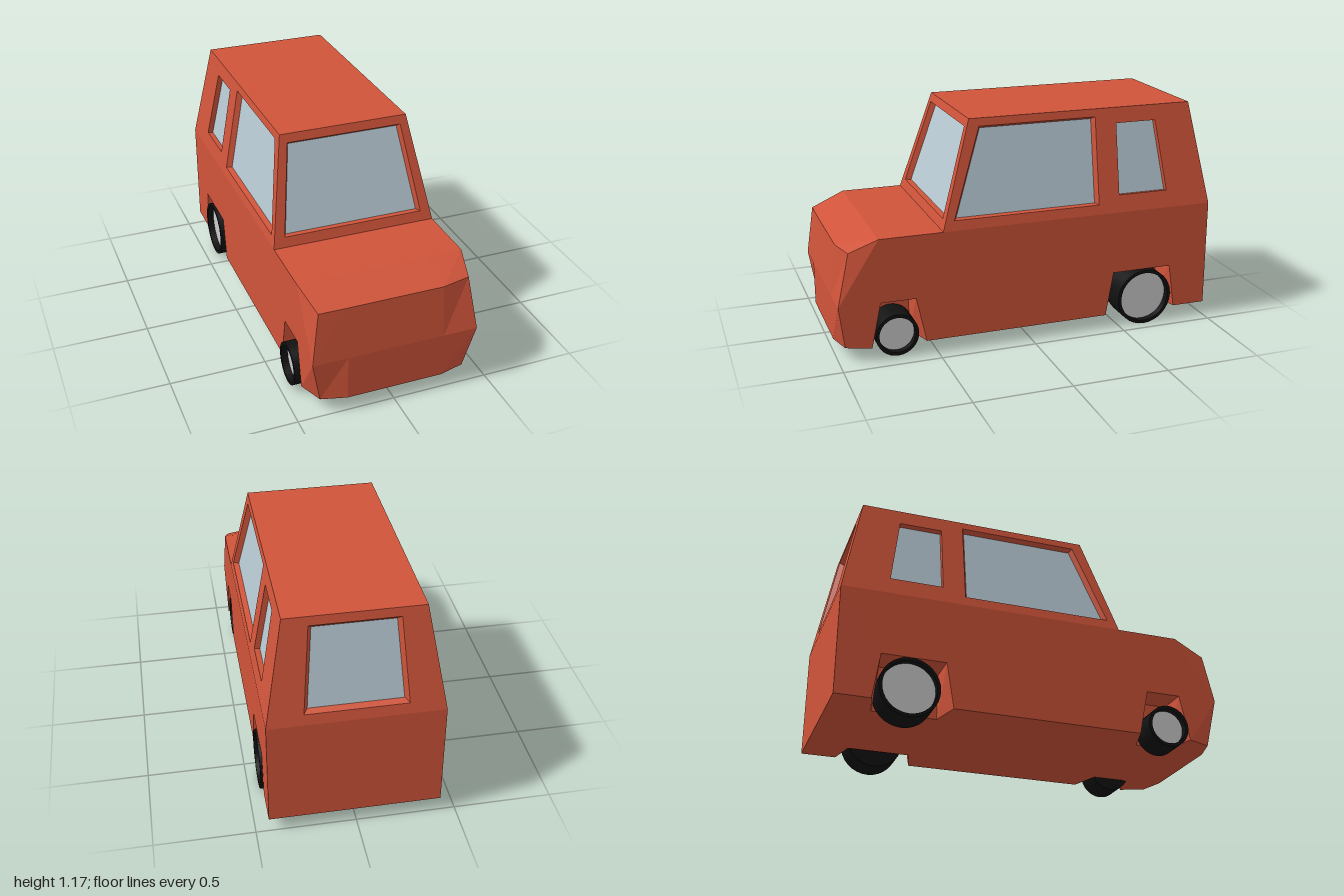
import * as THREE from 'three';
import { toCreasedNormals } from 'three/addons/utils/BufferGeometryUtils.js';

const paint = new THREE.MeshStandardMaterial({ color: 0xd0543a, flatShading: true });
const glass = new THREE.MeshStandardMaterial({ color: 0xb8cad4, flatShading: true });
const rubber = new THREE.MeshStandardMaterial({ color: 0x111111 });
const metal = new THREE.MeshStandardMaterial({ color: 0xcccccc });

const V = (x, y, z) => new THREE.Vector3(x, y, z);

// Adds a polygon (with optional holes) to a list of coordinates, facing along out
function poly(list, outline, out, holes = []) {
  const a = [Math.abs(out.x), Math.abs(out.y), Math.abs(out.z)];
  const drop = a.indexOf(Math.max(...a));
  const flat = (p) => (drop === 0 ? new THREE.Vector2(p.z, p.y)
    : drop === 1 ? new THREE.Vector2(p.x, p.z) : new THREE.Vector2(p.x, p.y));
  const all = [...outline, ...holes.flat()];
  const faces = THREE.ShapeUtils.triangulateShape(outline.map(flat), holes.map((h) => h.map(flat)));
  for (const f of faces) {
    let [p, q, r] = f.map((i) => all[i]);
    const n = q.clone().sub(p).cross(r.clone().sub(p));
    if (n.dot(out) < 0) [q, r] = [r, q];
    for (const v of [p, q, r]) list.push(v.x, v.y, v.z);
  }
}

function makeMesh(name, list, material) {
  const g = new THREE.BufferGeometry();
  g.setAttribute('position', new THREE.Float32BufferAttribute(list, 3));
  g.computeVertexNormals();
  const m = new THREE.Mesh(g, material);
  m.name = name;
  return m;
}

// Recessed window: jambs join the opening to a smaller, sunken pane
function sinkWindow(frame, panes, hole, out, shrink) {
  const n = out.clone().normalize();
  const c = hole.reduce((s, p) => s.add(p), V(0, 0, 0)).divideScalar(hole.length);
  const pane = hole.map((p) => p.clone().sub(c).multiplyScalar(shrink).add(c).addScaledVector(n, -0.028));
  hole.forEach((p, i) => {
    const j = (i + 1) % hole.length;
    const mid = p.clone().add(hole[j]).multiplyScalar(0.5);
    const inward = c.clone().sub(mid);
    for (const t of [[p, hole[j], pane[j]], [p, pane[j], pane[i]]]) {
      const m = t[1].clone().sub(t[0]).cross(t[2].clone().sub(t[0]));
      const tri = m.dot(inward) < 0 ? [t[0], t[2], t[1]] : t;
      for (const v of tri) frame.push(v.x, v.y, v.z);
    }
  });
  poly(panes, pane, out);
}

const W = 0.43, FLOOR = 0.075, ARCH = 0.31, BELT = 0.64, ROOF = 1.175, WELL = 0.27;
// Wheel arches: top span in z, bottom span in z
const arches = [
  { top: [-0.785, -0.46], bottom: [-0.82, -0.42] },
  { top: [0.61, 0.79], bottom: [0.56, 0.84] },
];

function makeLowerBody() {
  const b = [];
  const floorHalves = [];
  for (const s of [1, -1]) {
    const side = [V(s * W, FLOOR, -1)];
    const floor = [V(s * W, FLOOR, -1)];
    const out = V(s, 0, 0);
    for (const { top: [t0, t1], bottom: [b0, b1] } of arches) {
      side.push(V(s * W, FLOOR, b0), V(s * W, ARCH, t0), V(s * W, ARCH, t1), V(s * W, FLOOR, b1));
      floor.push(V(s * W, FLOOR, b0), V(s * WELL, FLOOR, t0), V(s * WELL, FLOOR, t1), V(s * W, FLOOR, b1));
      // wheel well: roof, inner wall and two slanted ends
      poly(b, [V(s * W, ARCH, t0), V(s * W, ARCH, t1), V(s * WELL, ARCH, t1), V(s * WELL, ARCH, t0)], V(0, -1, 0));
      poly(b, [V(s * WELL, ARCH, t0), V(s * WELL, ARCH, t1), V(s * WELL, FLOOR, t1), V(s * WELL, FLOOR, t0)], out);
      for (const [t, e, d] of [[t0, b0, 1], [t1, b1, -1]]) {
        poly(b, [V(s * W, ARCH, t), V(s * W, FLOOR, e), V(s * WELL, FLOOR, t)], V(0, 0, d));
        poly(b, [V(s * W, ARCH, t), V(s * WELL, FLOOR, t), V(s * WELL, ARCH, t)], V(0, 0, d));
      }
    }
    side.push(V(s * W, ARCH, 1), V(s * W, BELT, 0.79), V(s * W, BELT, -1));
    poly(b, side, out);
    floor.push(V(s * 0.38, FLOOR, 0.965), V(s * 0.25, FLOOR, 1));
    floorHalves.push(floor);
  }
  poly(b, [...floorHalves[0], ...floorHalves[1].reverse()], V(0, -1, 0));

  // Nose: rows of four points from hood edge to floor
  const rows = [
    [V(-W, BELT, 0.79), V(-0.25, BELT, 0.79), V(0.25, BELT, 0.79), V(W, BELT, 0.79)],
    [V(-0.39, 0.575, 0.968), V(-0.25, 0.575, 0.97), V(0.25, 0.575, 0.97), V(0.4, 0.575, 0.935)],
    [V(-W, ARCH, 1), V(-0.25, ARCH, 1), V(0.25, ARCH, 1), V(W, ARCH, 1)],
    [V(-0.38, FLOOR, 0.965), V(-0.25, FLOOR, 1), V(0.25, FLOOR, 1), V(0.38, FLOOR, 0.965)],
  ];
  for (let r = 0; r < 3; r++) {
    for (let i = 0; i < 3; i++) {
      poly(b, [rows[r][i], rows[r][i + 1], rows[r + 1][i + 1], rows[r + 1][i]], V(0, 0.1, 1));
    }
  }
  // Nose side chamfers
  for (const [s, i] of [[-1, 0], [1, 3]]) {
    poly(b, [rows[0][i], rows[1][i], rows[2][i]], V(s, 0, 0.1));
    poly(b, [rows[2][i], rows[3][i], V(s * W, FLOOR, 0.84)], V(s, 0, 0.1));
  }
  // Hood top and tail
  poly(b, [V(-W, BELT, 0.79), V(W, BELT, 0.79), V(W, BELT, 0.465), V(-W, BELT, 0.465)], V(0, 1, 0));
  poly(b, [V(-W, FLOOR, -1), V(W, FLOOR, -1), V(W, BELT, -1), V(-W, BELT, -1)], V(0, 0, -1));
  return makeMesh('lowerBody', b, paint);
}

function makeCabin() {
  const group = new THREE.Group();
  group.name = 'cabin';
  const shell = [];
  const k = (y) => (y - BELT) / (ROOF - BELT);
  const xAt = (y) => W - 0.095 * k(y);
  const frontAt = (y) => 0.465 - 0.165 * k(y);
  const backAt = (y) => -1 + 0.1 * k(y);
  const addWindow = (name, hole, out, shrink) => {
    const panes = [];
    sinkWindow(shell, panes, hole, out, shrink);
    group.add(makeMesh(name, panes, glass));
  };

  // Sides, each with a long door window and a rear quarter window
  for (const s of [1, -1]) {
    const p = (y, z) => V(s * xAt(y), y, z);
    const out = V(s, 0.178, 0);
    const door = [p(0.69, 0.405), p(0.69, -0.37), p(1.135, -0.37), p(1.135, 0.25)];
    const quarter = [p(0.73, -0.485), p(0.73, -0.755), p(1.095, -0.705), p(1.095, -0.485)];
    poly(shell, [p(BELT, 0.465), p(BELT, -1), p(ROOF, -0.9), p(ROOF, 0.3)], out, [door, quarter]);
    addWindow('doorWindow', door, out, 0.96);
    addWindow('quarterWindow', quarter, out, 0.995);
  }

  // Windscreen and rear window
  const ends = [
    ['windscreen', frontAt, 0.69, 0.368, 1.132, 0.3, V(0, 0.308, 1), 0.963],
    ['rearWindow', backAt, 0.695, 0.25, 1.13, 0.215, V(0, 0.187, -1), 0.92],
  ];
  for (const [name, zAt, y0, w0, y1, w1, out, shrink] of ends) {
    const p = (x, y) => V(x, y, zAt(y));
    const hole = [p(-w0, y0), p(w0, y0), p(w1, y1), p(-w1, y1)];
    const xr = xAt(ROOF);
    poly(shell, [p(-W, BELT), p(W, BELT), p(xr, ROOF), p(-xr, ROOF)], out, [hole]);
    addWindow(name, hole, out, shrink);
  }

  // Roof
  const xr = xAt(ROOF);
  poly(shell, [V(-xr, ROOF, 0.3), V(xr, ROOF, 0.3), V(xr, ROOF, -0.9), V(-xr, ROOF, -0.9)], V(0, 1, 0));
  group.add(makeMesh('cabinShell', shell, paint));
  return group;
}

function makeWheel(name, r, side, x, y, z) {
  const wheel = new THREE.Group();
  wheel.name = name;
  const h = 0.075, lip = r - 0.017, sunk = h - 0.035;
  const profile = [[0, -h], [r, -h], [r, h], [lip, h], [lip, sunk]].map(([a, b]) => new THREE.Vector2(a, b));
  const tyre = new THREE.Mesh(toCreasedNormals(new THREE.LatheGeometry(profile, 32), 0.6), rubber);
  tyre.name = 'tyre';
  const hub = new THREE.Mesh(new THREE.CircleGeometry(lip, 32).rotateX(-Math.PI / 2), metal);
  hub.name = 'hub';
  hub.position.y = sunk;
  wheel.add(tyre, hub);
  wheel.rotation.z = -side * Math.PI / 2;
  wheel.position.set(x, y, z);
  return wheel;
}

export function createModel() {
  const car = new THREE.Group();
  car.name = 'van';
  const body = new THREE.Group();
  body.name = 'body';
  body.position.x = 0.005;
  body.add(makeLowerBody(), makeCabin());
  car.add(body);
  for (const [s, label] of [[1, 'left'], [-1, 'right']]) {
    car.add(makeWheel(label + 'FrontWheel', 0.11, s, s * 0.365 - 0.01, 0.125, 0.708));
    car.add(makeWheel(label + 'RearWheel', 0.152, s, s * 0.365 + 0.005, 0.153, -0.64));
  }
  return car;
}
